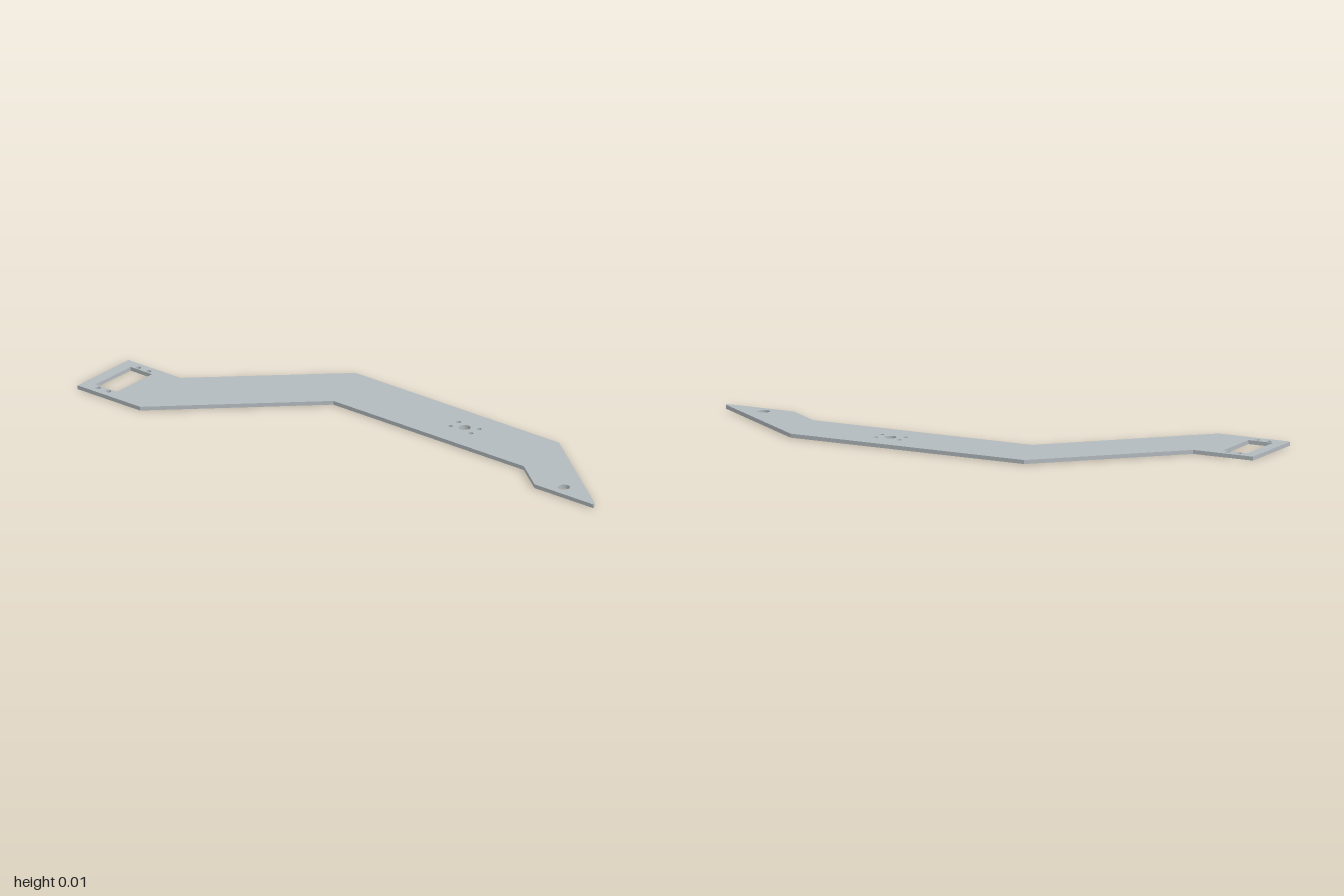
import * as THREE from 'three';

const THICKNESS = 0.014;

// Round hole centred at (x, z)
function roundHole(x, z, r) {
  const path = new THREE.Path();
  path.absarc(x, -z, r, 0, Math.PI * 2, true);
  return path;
}

export function createModel() {
  const model = new THREE.Group();
  model.name = 'bracketPlate';
  const metal = new THREE.MeshStandardMaterial({ color: 0xb3babe });
  metal.name = 'light grey metal';

  // Cranked outline as [x, z], with a small rounded nose at the right end
  const outline = new THREE.Shape();
  outline.moveTo(-1, -0.345);
  for (const [x, z] of [[-0.72, 0.345], [-0.24, -0.118], [0.613, -0.118], [0.737, -0.026], [0.998, -0.026]]) {
    outline.lineTo(x, -z);
  }
  outline.quadraticCurveTo(1.003, 0.032, 0.992, 0.041);
  for (const [x, z] of [[0.58, -0.347], [-0.33, -0.347], [-0.767, 0.07], [-1, 0.07]]) {
    outline.lineTo(x, -z);
  }
  outline.closePath();

  // Rectangular window with a pair of screw holes at each end
  const slot = new THREE.Path();
  slot.moveTo(-0.958, -0.11);
  slot.lineTo(-0.862, -0.11);
  slot.lineTo(-0.862, -0.299);
  slot.lineTo(-0.958, -0.299);
  slot.closePath();
  outline.holes.push(slot);
  for (const x of [-0.933, -0.887]) {
    for (const z of [0.098, 0.315]) outline.holes.push(roundHole(x, z, 0.0095));
  }

  // Shaft hole surrounded by four screw holes
  outline.holes.push(roundHole(0.25, -0.236, 0.021));
  for (const dx of [-0.046, 0.046]) {
    for (const dz of [-0.023, 0.023]) outline.holes.push(roundHole(0.25 + dx, -0.236 + dz, 0.009));
  }

  // Pivot hole near the nose
  outline.holes.push(roundHole(0.83, -0.072, 0.021));

  const geometry = new THREE.ExtrudeGeometry(outline, {
    depth: THICKNESS, bevelEnabled: false, curveSegments: 24,
  });
  geometry.rotateX(-Math.PI / 2);
  const plate = new THREE.Mesh(geometry, metal);
  plate.name = 'armPlate';
  model.add(plate);
  return model;
}
